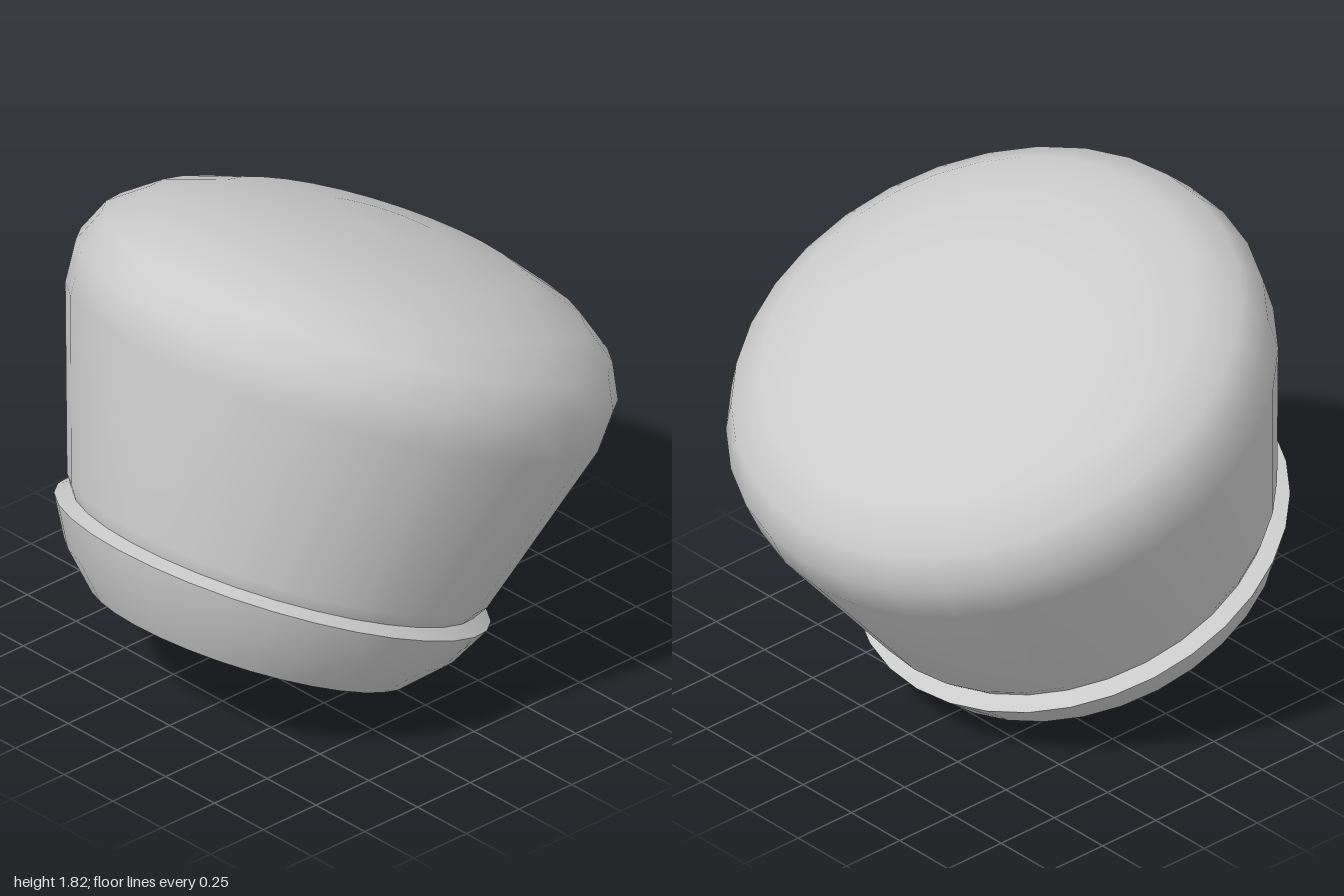
import * as THREE from 'three';

const SEGMENTS = 32;

export function createModel() {
  const fabric = new THREE.MeshStandardMaterial({ color: 0xcccccc, side: THREE.DoubleSide });
  fabric.name = 'light grey fabric';

  // Smooth surface of revolution from [radius, height] pairs
  const turned = (name, profile) => {
    const points = profile.map(([r, h]) => new THREE.Vector2(r, h));
    const mesh = new THREE.Mesh(new THREE.LatheGeometry(points, SEGMENTS), fabric);
    mesh.name = name;
    return mesh;
  };

  const hat = new THREE.Group();
  hat.name = 'tiltedHat';

  // Flared crown with a softly domed top
  hat.add(turned('crown', [
    [0.735, 0.30], [0.772, 0.357], [0.978, 1.012], [0.987, 1.165], [0.93, 1.288],
    [0.797, 1.39], [0.57, 1.475], [0.275, 1.518], [0, 1.528],
  ]));

  // Folded band: separate surfaces keep its edges sharp
  const band = new THREE.Group();
  band.name = 'band';
  band.add(
    turned('bandOuter', [[0.585, 0], [0.715, 0.132], [0.795, 0.277]]),
    turned('bandLip', [[0.795, 0.277], [0.738, 0.306]]),
    turned('bandLining', [[0.735, 0.298], [0.72, 0.225], [0.52, 0.033]]),
    turned('bandHem', [[0.52, 0.033], [0.585, 0]]),
  );
  hat.add(band);

  // Lean the whole hat backwards
  hat.rotation.x = -THREE.MathUtils.degToRad(23.4);
  hat.position.set(0, 0.236, 0.373);

  const model = new THREE.Group();
  model.name = 'hat';
  model.add(hat);
  return model;
}
